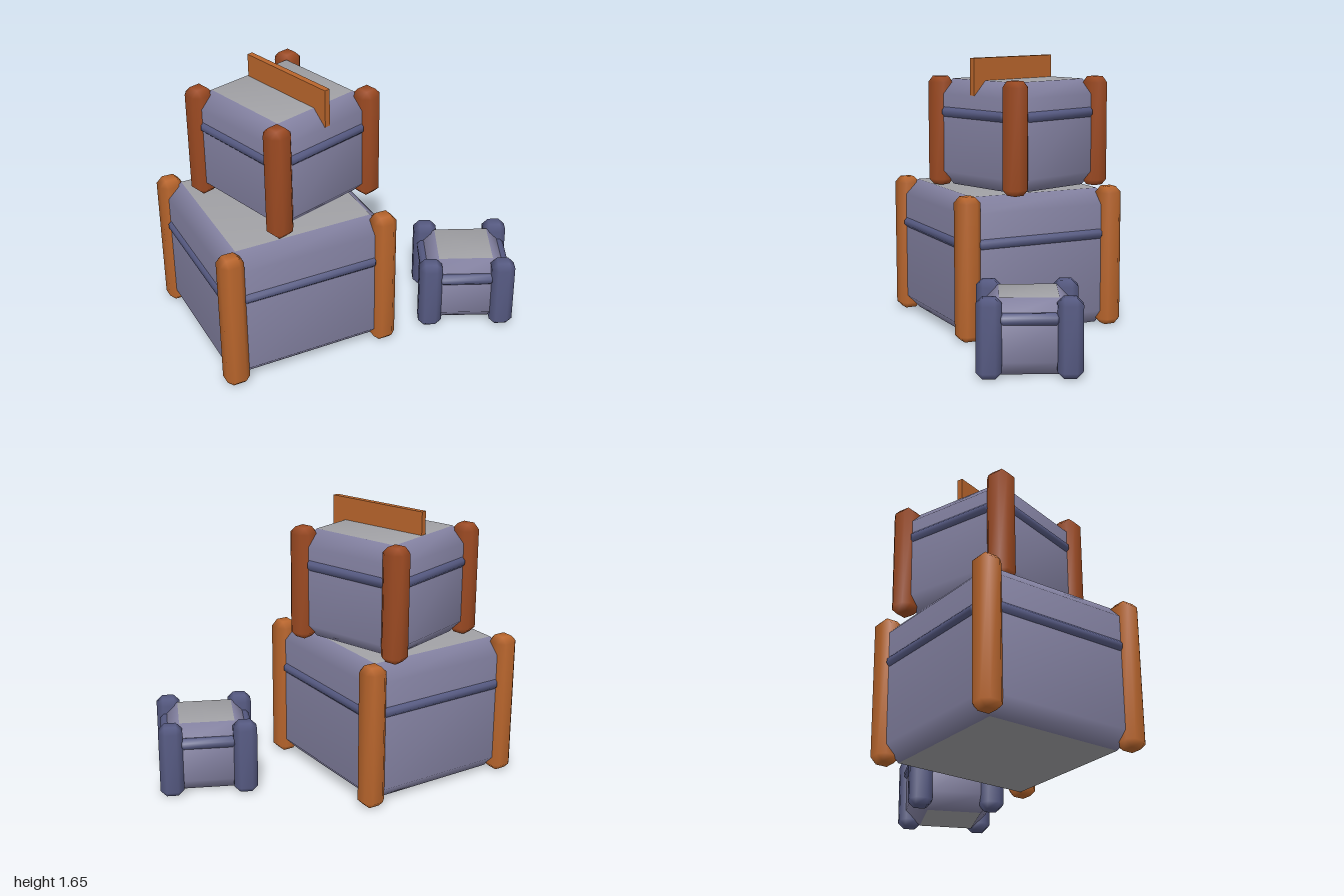
import * as THREE from 'three';
import { mergeVertices } from 'three/addons/utils/BufferGeometryUtils.js';

const mat = (color) => new THREE.MeshStandardMaterial({ color });
const wall = mat(0x8482a2);
const lid = mat(0xa0a0a4);
const slate = mat(0x565a82);
const orange = mat(0xb8652c);
const rust = mat(0x9c4a22);

// Box with every edge cut once, standing on y = 0, softly shaded.
// Group 0 is the sides and cut edges, group 1 the flat top and bottom.
function chamferBox(w, h, d, c) {
  const x = w / 2, z = d / 2, pos = [], index = [];
  const octagon = [
    [x, z - c], [x - c, z], [c - x, z], [-x, z - c],
    [-x, c - z], [c - x, -z], [x - c, -z], [x, c - z],
  ];
  const inset = octagon.map(([px, pz]) => [Math.sign(px) * (x - c), Math.sign(pz) * (z - c)]);
  [[inset, 0], [octagon, c], [octagon, h - c], [inset, h]].forEach(([ring, y]) => {
    ring.forEach(([px, pz]) => pos.push(px, y, pz));
  });
  for (let r = 0; r < 3; r++) {
    for (let i = 0; i < 8; i++) {
      const a = r * 8 + i, b = r * 8 + (i + 1) % 8;
      // inset corners are doubled, so skip the triangles that collapse there
      if (r > 0 || i % 2) index.push(a, a + 8, b);
      if (r < 2 || i % 2) index.push(b, a + 8, b + 8);
      if (r === 0 && i % 2 === 0) continue;
    }
  }
  const sides = index.length;
  index.push(0, 2, 4, 0, 4, 6); // bottom
  index.push(24, 28, 26, 24, 30, 28); // top
  let geo = new THREE.BufferGeometry();
  geo.setAttribute('position', new THREE.Float32BufferAttribute(pos, 3));
  geo.setIndex(index);
  geo = mergeVertices(geo);
  // turn any face that looks inward
  const p = geo.attributes.position, idx = geo.index;
  const mid = new THREE.Vector3(0, h / 2, 0);
  const t = [0, 1, 2].map(() => new THREE.Vector3());
  for (let i = 0; i < idx.count; i += 3) {
    t.forEach((v, k) => v.fromBufferAttribute(p, idx.getX(i + k)).sub(mid));
    if (t[0].dot(t[1].clone().cross(t[2])) < 0) {
      const b = idx.getX(i + 1);
      idx.setX(i + 1, idx.getX(i + 2));
      idx.setX(i + 2, b);
    }
  }
  geo.addGroup(0, sides, 0);
  geo.addGroup(sides, 12, 1);
  geo.computeVertexNormals();
  return geo;
}

function add(parent, name, geo, material, x = 0, y = 0, z = 0) {
  const mesh = new THREE.Mesh(geo, material);
  mesh.name = name;
  mesh.position.set(x, y, z);
  parent.add(mesh);
  return mesh;
}

// A crate: chamfered body, four corner posts and a rail on each side
function crate(name, { s, height, bandY, post }) {
  const g = new THREE.Group();
  g.name = name;
  const body = 2 * (s + 0.035);
  add(g, 'body', chamferBox(body, height, body, 0.09), [wall, lid]);
  const postGeo = chamferBox(0.14, height + 0.015, 0.14, 0.036);
  for (const x of [-s, s]) {
    for (const z of [-s, s]) add(g, 'cornerPost', postGeo, [post, post], x, 0, z);
  }
  const railGeo = chamferBox(2 * (s - 0.055), 0.066, 0.06, 0.02);
  for (let i = 0; i < 4; i++) {
    const a = i * Math.PI / 2, r = s + 0.022;
    const rail = add(g, 'sideRail', railGeo, [slate, slate], Math.sin(a) * r, bandY - 0.033, Math.cos(a) * r);
    rail.rotation.y = a;
  }
  return g;
}

export function createModel() {
  const model = new THREE.Group();
  model.name = 'crateStack';

  const large = crate('largeCrate', { s: 0.475, height: 0.85, bandY: 0.577, post: orange });
  large.position.set(-0.455, 0, -0.105);

  const upper = crate('upperCrate', { s: 0.338, height: 0.66, bandY: 0.46, post: rust });
  upper.position.set(-0.36, 0.855, -0.147);
  upper.rotation.y = THREE.MathUtils.degToRad(17);
  // upright plank set into the lid
  add(upper, 'plank', new THREE.BoxGeometry(0.035, 0.225, 0.65), orange, 0, 0.685, 0.05);

  const small = crate('smallCrate', { s: 0.218, height: 0.425, bandY: 0.325, post: slate });
  small.position.set(0.635, 0, 0.28);
  small.rotation.y = THREE.MathUtils.degToRad(-25);

  model.add(large, upper, small);
  return model;
}
